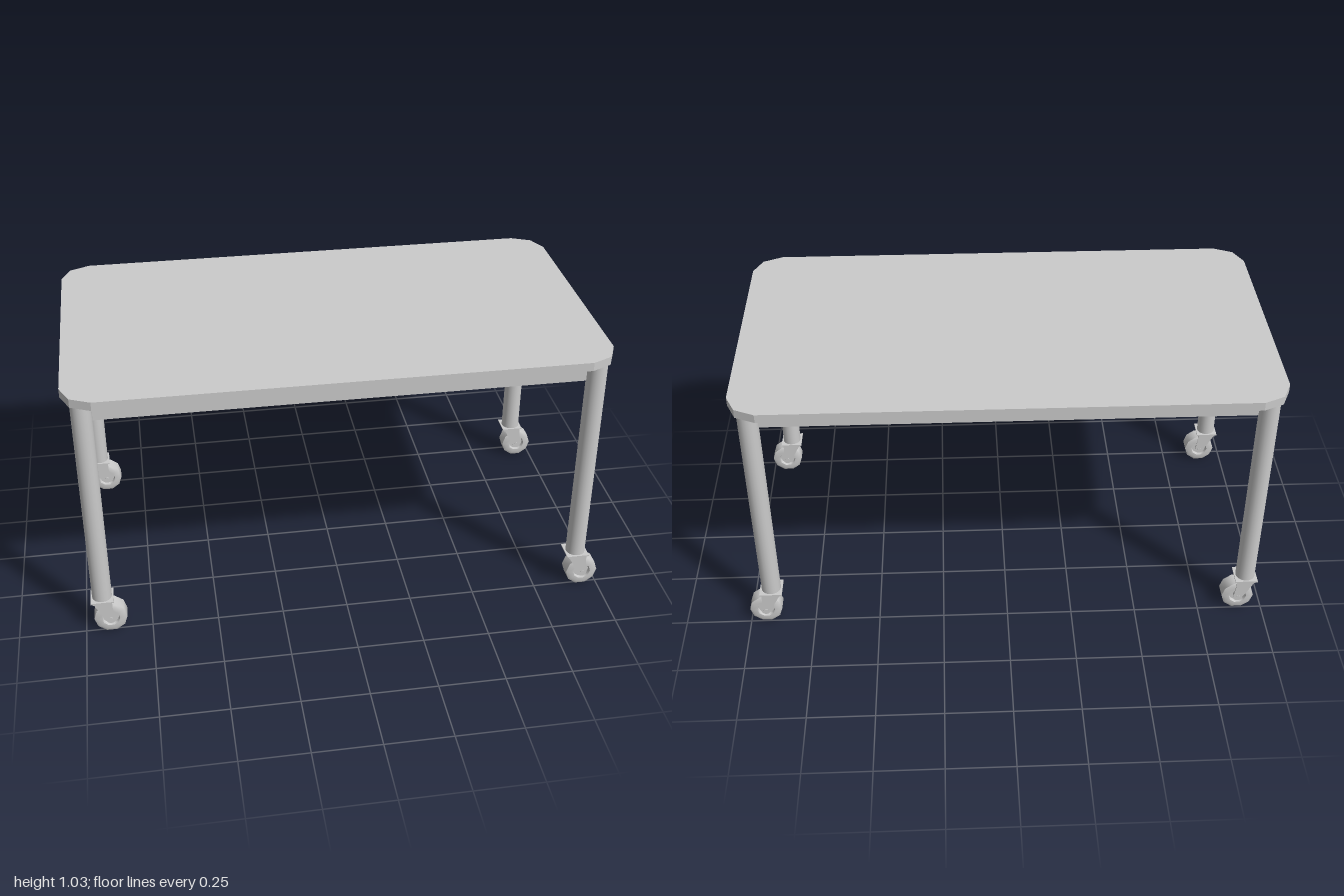
import * as THREE from 'three';
import { toCreasedNormals } from 'three/addons/utils/BufferGeometryUtils.js';

const material = new THREE.MeshStandardMaterial({ color: 0xcccccc, side: THREE.DoubleSide });

function part(name, geometry, x = 0, y = 0, z = 0) {
  const mesh = new THREE.Mesh(geometry, material);
  mesh.name = name;
  mesh.position.set(x, y, z);
  return mesh;
}

// Slab with corners softened by two short facets
function tabletopGeometry(w, d, h) {
  const shape = new THREE.Shape();
  const r = 0.108, m = 0.034;
  const corner = [[0, r], [m, m], [r, 0]];
  for (const [sx, sy] of [[-1, -1], [1, -1], [1, 1], [-1, 1]]) {
    const points = sx * sy > 0 ? corner : [...corner].reverse();
    for (const [a, b] of points) {
      const x = sx * (w / 2 - a), y = sy * (d / 2 - b);
      if (shape.curves.length || shape.started) shape.lineTo(x, y);
      else { shape.moveTo(x, y); shape.started = true; }
    }
  }
  const geometry = new THREE.ExtrudeGeometry(shape, { depth: h, bevelEnabled: false });
  return geometry.rotateX(-Math.PI / 2);
}

// Wheel with chamfered tread and a recessed ring around the hub, axle along z
function wheelGeometry() {
  const half = [[0, 0.031], [0.015, 0.031], [0.015, 0.018], [0.031, 0.018],
    [0.034, 0.032], [0.052, 0.032], [0.062, 0.027]];
  const profile = [
    ...half.map(([r, h]) => new THREE.Vector2(r, -h)),
    ...half.map(([r, h]) => new THREE.Vector2(r, h)).reverse(),
  ];
  const geometry = new THREE.LatheGeometry(profile, 10).rotateX(Math.PI / 2).rotateZ(Math.PI / 10);
  return toCreasedNormals(geometry, 0.7);
}

// Tapered fork arm, wide under the plate and rounded at the axle (origin under the leg)
function forkArmGeometry(axleX, axleY, top) {
  const shape = new THREE.Shape();
  shape.moveTo(-0.036, top);
  shape.lineTo(axleX - 0.018, axleY);
  shape.absarc(axleX, axleY, 0.018, Math.PI, Math.PI * 2.1, false);
  shape.lineTo(0.036, 0.115);
  shape.lineTo(0.036, top);
  return new THREE.ExtrudeGeometry(shape, { depth: 0.004, bevelEnabled: false, curveSegments: 6 });
}

function createCaster() {
  const caster = new THREE.Group();
  caster.name = 'caster';
  const axleX = 0.026, axleY = 0.0605;
  caster.add(part('mountingPlate', new THREE.BoxGeometry(0.086, 0.005, 0.086), 0, 0.1435, 0));
  caster.add(part('forkBridge', new THREE.BoxGeometry(0.072, 0.008, 0.076), 0, 0.137, 0));
  for (const z of [-0.038, 0.034]) {
    caster.add(part('forkArm', forkArmGeometry(axleX, axleY, 0.142), 0, 0, z));
  }
  caster.add(part('wheel', wheelGeometry(), axleX, axleY, 0));
  const axle = new THREE.CylinderGeometry(0.009, 0.009, 0.08, 10).rotateX(Math.PI / 2);
  caster.add(part('axle', axle, axleX, axleY, 0));
  return caster;
}

export function createModel() {
  const table = new THREE.Group();
  table.name = 'rollingTable';

  const legX = [-0.93, 0.912], legZ = [-0.467, 0.479];
  const midX = (legX[0] + legX[1]) / 2, midZ = (legZ[0] + legZ[1]) / 2;

  table.add(part('tabletop', tabletopGeometry(1.98, 1.09, 0.033), -0.009, 0.994, 0));

  // Solid apron block running between the leg centres
  table.add(part('apron',
    new THREE.BoxGeometry(legX[1] - legX[0], 0.078, legZ[1] - legZ[0]), midX, 0.956, midZ));

  // Legs, each on a caster trailing the same way
  for (const x of legX) {
    for (const z of legZ) {
      const leg = new THREE.CylinderGeometry(0.037, 0.037, 0.849, 20);
      table.add(part('leg', leg, x, 0.5695, z));
      const caster = createCaster();
      caster.position.set(x, 0, z);
      table.add(caster);
    }
  }
  return table;
}
